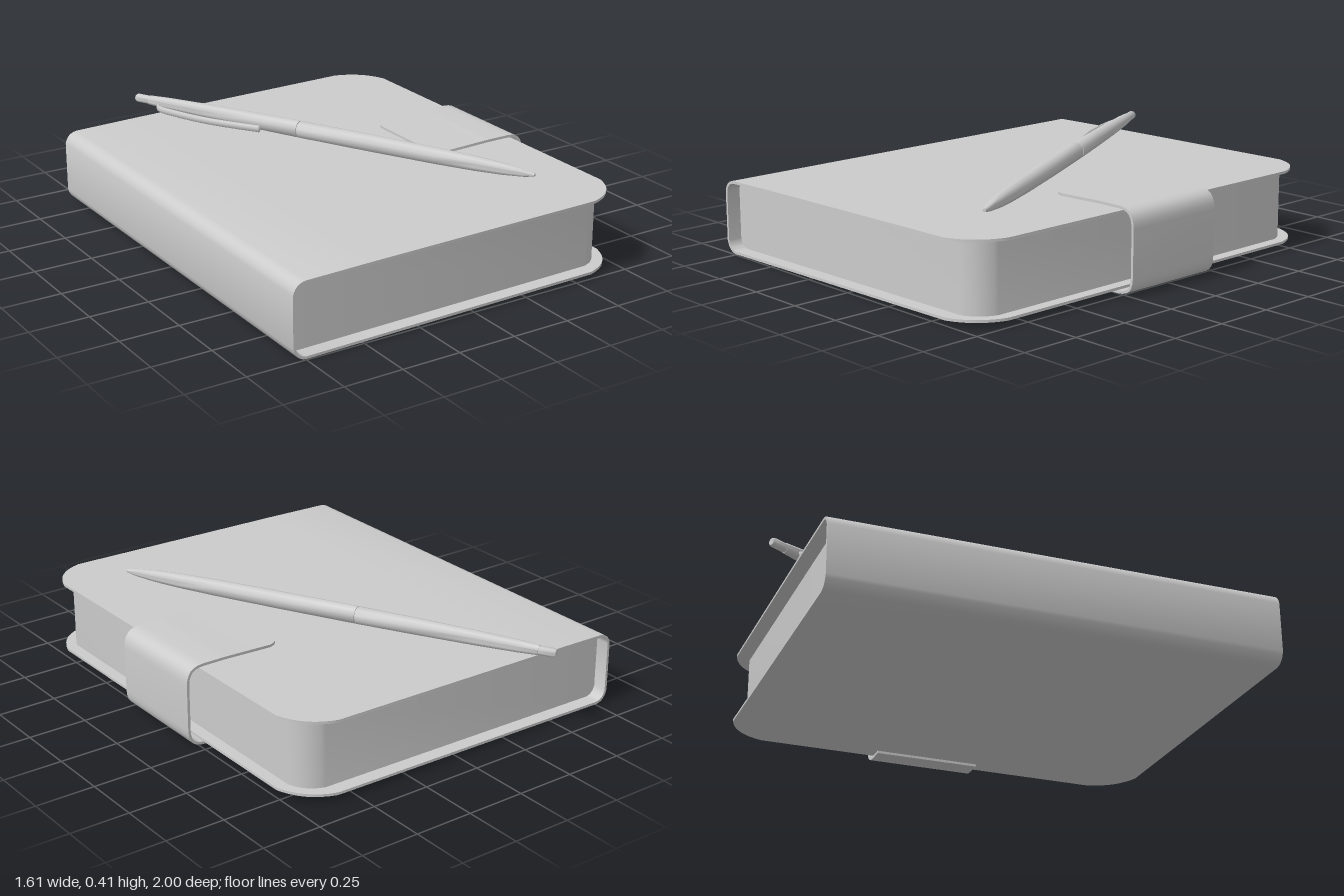
import * as THREE from 'three';
import { toCreasedNormals } from 'three/addons/utils/BufferGeometryUtils.js';

const material = new THREE.MeshStandardMaterial({ color: 0xcccccc, side: THREE.DoubleSide });

function addMesh(parent, name, geometry) {
  const mesh = new THREE.Mesh(geometry, material);
  mesh.name = name;
  parent.add(mesh);
  return mesh;
}

// Flat plate in plan with two rounded corners on one end; bottom(x) and top(x) give its heights
function plate(xSquare, xRound, z0, z1, radius, bottom, top) {
  const r = radius * Math.sign(xRound - xSquare);
  const s = new THREE.Shape();
  s.moveTo(xSquare, -z0);
  s.lineTo(xRound - r, -z0);
  s.quadraticCurveTo(xRound - r * 0.22, -z0 - radius * 0.22, xRound, -z0 - radius);
  s.lineTo(xRound, -z1 + radius);
  s.quadraticCurveTo(xRound - r * 0.22, -z1 + radius * 0.22, xRound - r, -z1);
  s.lineTo(xSquare, -z1);
  s.closePath();
  const g = new THREE.ExtrudeGeometry(s, { depth: 1, bevelEnabled: false, curveSegments: 8 });
  g.rotateX(-Math.PI / 2);
  const p = g.attributes.position;
  for (let i = 0; i < p.count; i++) {
    const x = p.getX(i);
    p.setY(i, p.getY(i) > 0.5 ? top(x) : bottom(x));
  }
  return toCreasedNormals(g, 0.6);
}

// Side profile pulled along z
function extrudeZ(shape, z0, z1) {
  const g = new THREE.ExtrudeGeometry(shape, { depth: z1 - z0, bevelEnabled: false, curveSegments: 8 });
  g.translate(0, 0, z0);
  return toCreasedNormals(g, 0.6);
}

// Closed outline of a band: the path plus its copy offset to the left of travel
function band(path, thickness) {
  const outer = path.getPoints(6);
  const inner = outer.map((p, i) => {
    const a = outer[Math.max(i - 1, 0)];
    const b = outer[Math.min(i + 1, outer.length - 1)];
    const d = b.clone().sub(a).normalize();
    return new THREE.Vector2(p.x - d.y * thickness, p.y + d.x * thickness);
  });
  return new THREE.Shape([...outer, ...inner.reverse()]);
}

export function createModel() {
  const model = new THREE.Group();
  const zBack = -0.88, zFront = 1.0;
  const topY = x => 0.32 + (x + 0.45) * 0.0126;
  const lowY = x => 0.008 + (x + 0.45) * 0.0126;
  const t = 0.011;

  // Cover boards
  addMesh(model, 'topCover', plate(-0.45, 0.74, zBack, zFront, 0.165, x => topY(x) - t, topY));
  addMesh(model, 'bottomCover', plate(-0.45, 0.74, zBack, zFront, 0.165, lowY, x => lowY(x) + t));

  // Spine wraps from the lower hinge around to the upper hinge
  const spine = new THREE.Path();
  spine.moveTo(-0.45, topY(-0.45));
  spine.lineTo(-0.75, 0.314);
  spine.quadraticCurveTo(-0.795, 0.31, -0.805, 0.265);
  spine.lineTo(-0.805, 0.055);
  spine.quadraticCurveTo(-0.795, 0.008, -0.75, 0.004);
  spine.lineTo(-0.45, lowY(-0.45));
  addMesh(model, 'spine', extrudeZ(band(spine, t), zBack, zFront));

  // Page block, with a narrowed strip filling the spine
  addMesh(model, 'pages', plate(-0.75, 0.69, -0.82, 0.94, 0.1, x => lowY(x) + 0.008, x => topY(x) - 0.008));
  const binding = new THREE.Shape();
  binding.moveTo(-0.75, 0.014);
  binding.lineTo(-0.75, 0.306);
  binding.quadraticCurveTo(-0.787, 0.3, -0.796, 0.265);
  binding.lineTo(-0.796, 0.055);
  binding.quadraticCurveTo(-0.787, 0.018, -0.75, 0.014);
  addMesh(model, 'binding', extrudeZ(binding, -0.82, 0.94));

  // Clasp: flap on the cover and strap around the open edge
  const flapY = x => topY(x) + 0.001 + Math.max(0, x - 0.45) * 0.025;
  addMesh(model, 'claspFlap', plate(0.62, 0.35, -0.21, 0.25, 0.055, flapY, x => flapY(x) + 0.011));
  const strap = new THREE.Path();
  strap.moveTo(0.65, 0.001);
  strap.lineTo(0.72, 0.002);
  strap.bezierCurveTo(0.775, 0.004, 0.8, 0.025, 0.8, 0.08);
  strap.lineTo(0.8, 0.27);
  strap.bezierCurveTo(0.8, 0.325, 0.775, 0.35, 0.72, 0.35);
  strap.lineTo(0.62, flapY(0.62) + 0.011);
  addMesh(model, 'claspStrap', extrudeZ(band(strap, 0.011), -0.21, 0.25));

  // Pen lying diagonally; local z runs from the button to the tip
  const pen = new THREE.Group();
  pen.name = 'pen';
  pen.position.set(-0.4, 0.371, -0.99);
  pen.rotation.y = Math.atan2(0.89, 1.72);
  model.add(pen);
  const turned = (name, profile) => {
    const g = new THREE.LatheGeometry(profile.map(([r, s]) => new THREE.Vector2(r, s)), 10);
    g.rotateX(Math.PI / 2);
    addMesh(pen, name, toCreasedNormals(g, 0.9));
  };
  turned('penButton', [[0, 0], [0.014, 0], [0.019, 0.008], [0.019, 0.09], [0, 0.09]]);
  turned('penCap', [[0, 0.07], [0.021, 0.07], [0.026, 0.16], [0.031, 0.34], [0.035, 0.6], [0.037, 0.845], [0, 0.845]]);
  turned('penBarrel', [[0, 0.85], [0.037, 0.85], [0.037, 1.2], [0.035, 1.5], [0.031, 1.68],
    [0.025, 1.8], [0.016, 1.89], [0.007, 1.935], [0, 1.937]]);
  turned('penBand', [[0.033, 0.842], [0.033, 0.853]]);

  // Bowed clip on the side of the cap
  const clipPath = new THREE.CatmullRomCurve3([[-0.02, 0.13], [-0.045, 0.15], [-0.068, 0.28],
    [-0.075, 0.42], [-0.066, 0.55], [-0.051, 0.67]].map(([x, z]) => new THREE.Vector3(x, 0, z)));
  const clip = addMesh(pen, 'penClip', new THREE.TubeGeometry(clipPath, 24, 0.008, 8));
  clip.scale.y = 1.9;
  clip.position.y = -0.014;
  const clipEnd = addMesh(pen, 'clipEnd', new THREE.SphereGeometry(0.009, 10, 8));
  clipEnd.scale.y = 1.8;
  clipEnd.position.set(-0.051, -0.014, 0.67);

  return model;
}
